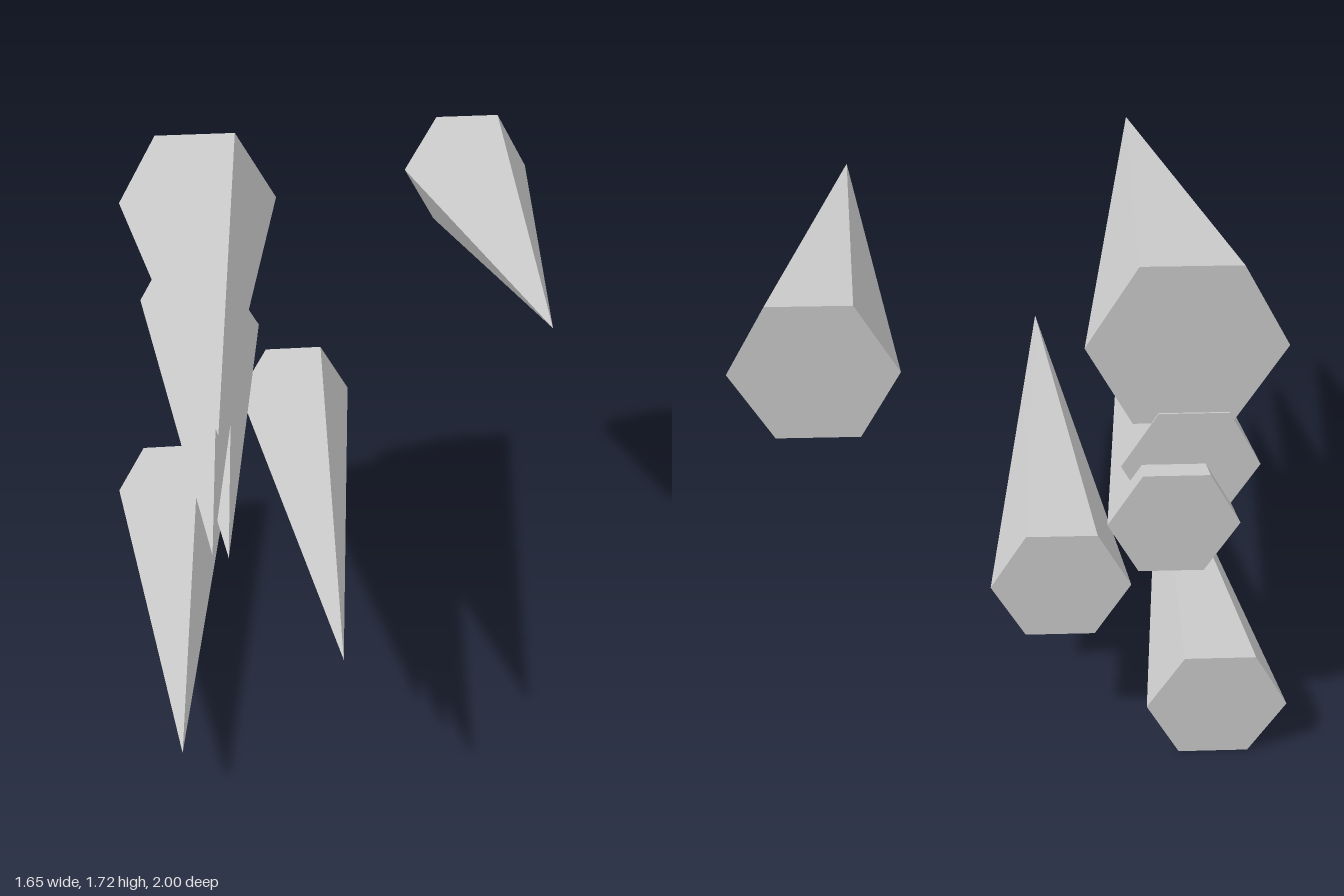
import * as THREE from 'three';

export function createModel() {
  const model = new THREE.Group();
  model.name = 'spikes';
  const grey = new THREE.MeshStandardMaterial({ color: 0xcccccc, flatShading: true });
  grey.name = 'light grey';

  // Six-sided spike along z: centre x, y, radius, base z, tip z
  function addSpike(name, x, y, radius, baseZ, tipZ) {
    const geometry = new THREE.ConeGeometry(radius, tipZ - baseZ, 6, 1, false, Math.PI / 2);
    geometry.rotateX(Math.PI / 2);
    const spike = new THREE.Mesh(geometry, grey);
    spike.name = name;
    spike.position.set(x, y, (baseZ + tipZ) / 2);
    model.add(spike);
  }

  addSpike('largeUpperSpike', -0.45, 1.476, 0.292, -0.832, 1.0);
  addSpike('outlyingSpike', 0.589, 1.506, 0.236, -1.0, 0.49);
  addSpike('middleSpike', -0.481, 1.079, 0.207, -0.838, 0.98);
  addSpike('smallMiddleSpike', -0.43, 0.92, 0.198, -0.911, 0.756);
  addSpike('lowerSpike', -0.102, 0.651, 0.217, -0.85, 0.942);
  addSpike('bottomSpike', -0.605, 0.2, 0.225, -0.903, 0.78);

  return model;
}
